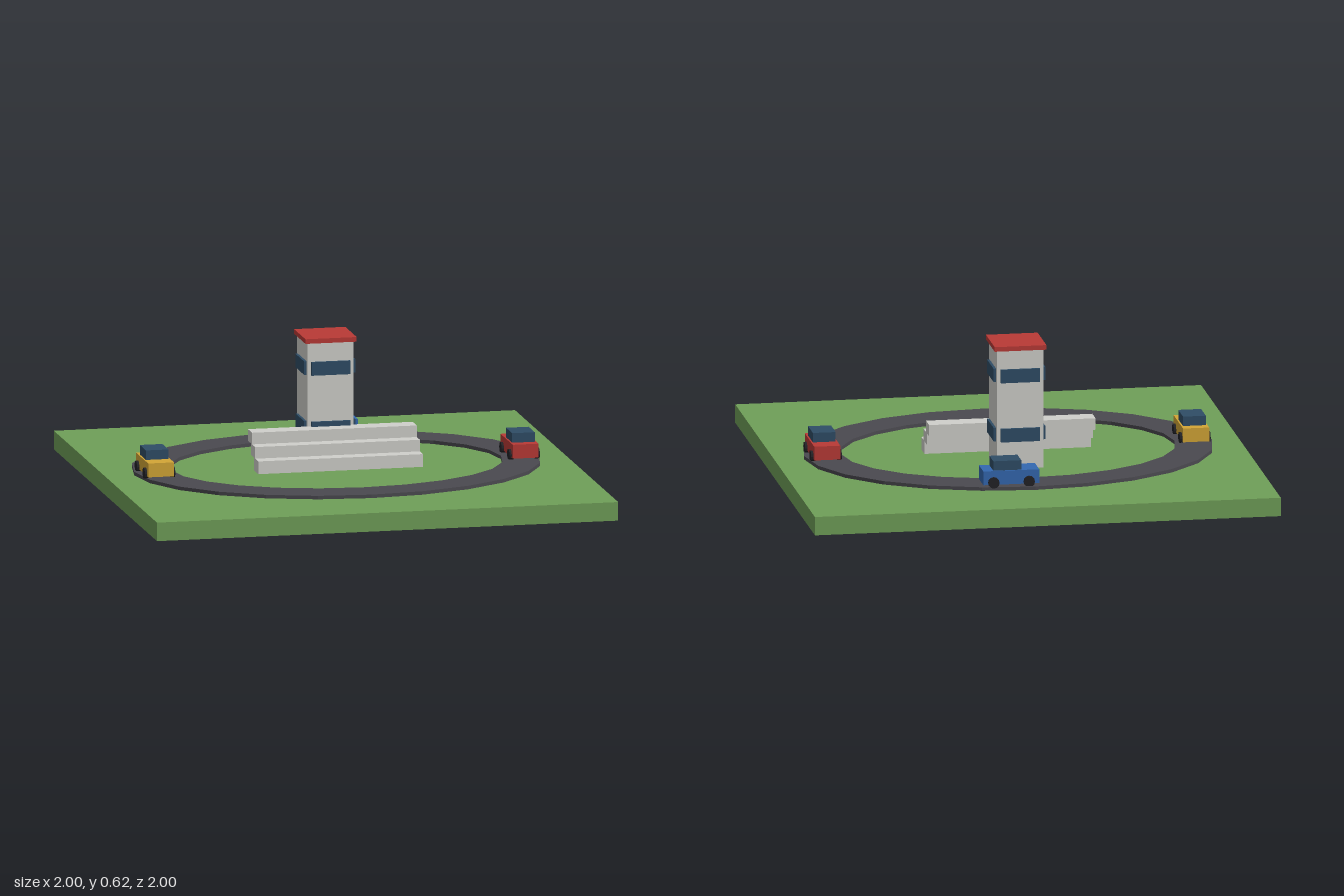
import * as THREE from 'three';

const mat = (color) => new THREE.MeshStandardMaterial({ color, flatShading: true });
const grass = mat(0x6f9f58), asphalt = mat(0x4a494f), concrete = mat(0xd0d0cb);
const red = mat(0xb93a36), blue = mat(0x3468b0), yellow = mat(0xd3a636);
const glass = mat(0x2f4d66), rubber = mat(0x222226);

// Adds a box given its size, centre x/z and bottom height
function box(parent, name, material, [w, h, d], [x, bottom, z]) {
  const mesh = new THREE.Mesh(new THREE.BoxGeometry(w, h, d), material);
  mesh.name = name;
  mesh.position.set(x, bottom + h / 2, z);
  parent.add(mesh);
  return mesh;
}

// Oval outline with 24 straight sides
function ovalPoints(rx, rz) {
  return Array.from({ length: 24 }, (_, i) => {
    const a = (i / 24) * Math.PI * 2;
    return new THREE.Vector2(Math.cos(a) * rx, Math.sin(a) * rz);
  });
}

function createTrack() {
  const shape = new THREE.Shape(ovalPoints(0.875, 0.69));
  shape.holes.push(new THREE.Path(ovalPoints(0.715, 0.53)));
  const geometry = new THREE.ExtrudeGeometry(shape, { depth: 0.015, bevelEnabled: false });
  geometry.rotateX(-Math.PI / 2);
  const track = new THREE.Mesh(geometry, asphalt);
  track.name = 'track';
  track.position.y = 0.08;
  return track;
}

// Three overlapping benches rising towards the back
function createGrandstand() {
  const stand = new THREE.Group();
  stand.name = 'grandstand';
  for (let i = 0; i < 3; i++) {
    const bottom = i === 0 ? 0.08 : 0.085 + i * 0.05;
    const top = 0.135 + i * 0.05;
    box(stand, 'bench', concrete, [0.714, top - bottom, 0.08], [0, bottom, 0.05 - i * 0.06]);
  }
  return stand;
}

function createTower() {
  const tower = new THREE.Group();
  tower.name = 'tower';
  tower.position.z = -0.205;
  box(tower, 'towerShaft', concrete, [0.2, 0.515, 0.2], [0, 0.08, 0]);
  box(tower, 'towerRoof', red, [0.222, 0.02, 0.222], [0, 0.595, 0]);
  // Two floors with one window on each of the four sides
  for (const bottom of [0.198, 0.456]) {
    for (let side = 0; side < 4; side++) {
      const wall = new THREE.Group();
      wall.name = 'windowWall';
      wall.rotation.y = (side * Math.PI) / 2;
      box(wall, 'window', glass, [0.168, 0.058, 0.02], [0, bottom, 0.101]);
      tower.add(wall);
    }
  }
  return tower;
}

// Car pointing along -x, with its cabin set back
function createCar(name, paint, x, z, turn) {
  const car = new THREE.Group();
  car.name = name;
  car.position.set(x, 0, z);
  car.rotation.y = turn;
  box(car, 'carBody', paint, [0.24, 0.06, 0.112], [0, 0.104, 0]);
  box(car, 'carCabin', glass, [0.12, 0.042, 0.098], [0.016, 0.163, 0]);
  for (const sx of [-1, 1]) {
    for (const sz of [-1, 1]) {
      const wheel = new THREE.Mesh(new THREE.CylinderGeometry(0.024, 0.024, 0.02, 12), rubber);
      wheel.name = 'wheel';
      wheel.rotation.x = Math.PI / 2;
      wheel.position.set(sx * 0.076, 0.114, sz * 0.056);
      car.add(wheel);
    }
  }
  return car;
}

export function createModel() {
  const model = new THREE.Group();
  model.name = 'raceTrack';
  box(model, 'ground', grass, [2, 0.08, 2], [0, 0, 0]);
  model.add(
    createTrack(),
    createGrandstand(),
    createTower(),
    createCar('redCar', red, 0.796, 0, -Math.PI / 2),
    createCar('blueCar', blue, 0.1, -0.612, 0),
    createCar('yellowCar', yellow, -0.796, 0.05, Math.PI / 2)
  );
  return model;
}
